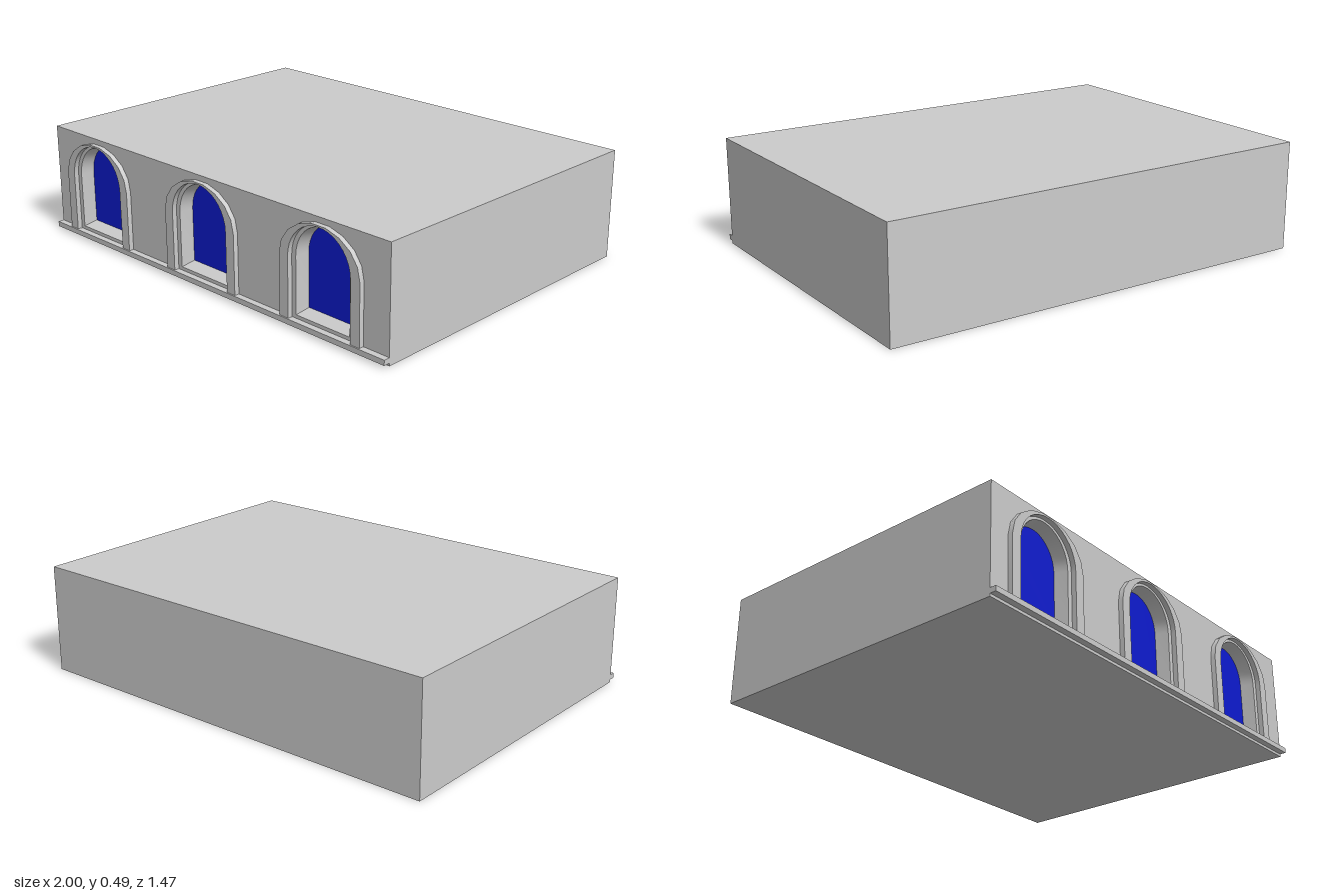
import * as THREE from 'three';
import { toCreasedNormals } from 'three/addons/utils/BufferGeometryUtils.js';

const BACK = -0.733, PANE = 0.645, WALL = 0.705, FRAME = 0.727, LEDGE = 0.733;
const HEIGHT = 0.488;

// Points of an arched outline, from the lower right over the top to the lower left
function arch(halfWidth, bottom, spring, top, segments) {
  const pts = [new THREE.Vector2(halfWidth, bottom)];
  for (let i = 0; i <= segments; i++) {
    const a = (Math.PI * i) / segments;
    pts.push(new THREE.Vector2(halfWidth * Math.cos(a), spring + (top - spring) * Math.sin(a)));
  }
  pts.push(new THREE.Vector2(-halfWidth, bottom));
  return pts;
}

// Closed strip joining two outlines at different depths
function loft(front, frontZ, back, backZ) {
  const pos = [];
  const n = front.length;
  for (let i = 0; i < n; i++) {
    const j = (i + 1) % n;
    const a = [front[i].x, front[i].y, frontZ], b = [front[j].x, front[j].y, frontZ];
    const c = [back[j].x, back[j].y, backZ], d = [back[i].x, back[i].y, backZ];
    pos.push(...a, ...b, ...c, ...a, ...c, ...d);
  }
  const g = new THREE.BufferGeometry();
  g.setAttribute('position', new THREE.Float32BufferAttribute(pos, 3));
  g.computeVertexNormals();
  return toCreasedNormals(g, 0.6);
}

export function createModel() {
  const model = new THREE.Group();
  model.name = 'arcadeBlock';
  const grey = new THREE.MeshStandardMaterial({ color: 0xcccccc });
  const greyDouble = new THREE.MeshStandardMaterial({ color: 0xcccccc, side: THREE.DoubleSide });
  const blue = new THREE.MeshStandardMaterial({ color: 0x0d1ad0 });

  const add = (parent, name, geometry, material = grey) => {
    const mesh = new THREE.Mesh(geometry, material);
    mesh.name = name;
    parent.add(mesh);
    return mesh;
  };
  const extrude = (shape, z0, z1) => {
    const g = new THREE.ExtrudeGeometry(shape, { depth: z1 - z0, bevelEnabled: false });
    g.translate(0, 0, z0);
    return toCreasedNormals(g, 0.6);
  };

  const centers = [-0.694, -0.016, 0.662];
  const opening = arch(0.141, 0.05, 0.295, 0.447, 18);
  const paneOutline = arch(0.128, 0.066, 0.3, 0.439, 18);

  // Main block behind the windows
  add(model, 'block', new THREE.BoxGeometry(2, HEIGHT, PANE - BACK))
    .position.set(0, HEIGHT / 2, (PANE + BACK) / 2);

  // Front wall with arched openings
  const wall = new THREE.Shape([
    new THREE.Vector2(-1, 0), new THREE.Vector2(1, 0),
    new THREE.Vector2(1, HEIGHT), new THREE.Vector2(-1, HEIGHT),
  ]);
  for (const cx of centers) {
    wall.holes.push(new THREE.Path(opening.map((p) => new THREE.Vector2(p.x + cx, p.y))));
  }
  add(model, 'frontWall', extrude(wall, PANE, WALL));

  // Ledge along the foot of the front
  add(model, 'baseLedge', new THREE.BoxGeometry(2, 0.023, LEDGE - WALL))
    .position.set(0, 0.0235, (LEDGE + WALL) / 2);

  // Raised surround: outer arch, then back along the inner arch
  const surround = new THREE.Shape([
    ...arch(0.21, 0.035, 0.298, 0.466, 9),
    ...arch(0.163, 0.035, 0.295, 0.457, 18).reverse(),
  ]);
  const surroundGeometry = extrude(surround, WALL, FRAME);
  const revealGeometry = loft(opening, WALL, paneOutline, PANE + 0.002);
  const paneGeometry = new THREE.ShapeGeometry(new THREE.Shape(paneOutline));

  centers.forEach((cx, i) => {
    const bay = new THREE.Group();
    bay.name = 'window' + (i + 1);
    bay.position.x = cx;
    add(bay, 'surround', surroundGeometry);
    add(bay, 'reveal', revealGeometry, greyDouble);
    add(bay, 'pane', paneGeometry, blue).position.z = PANE + 0.002;
    model.add(bay);
  });

  return model;
}
